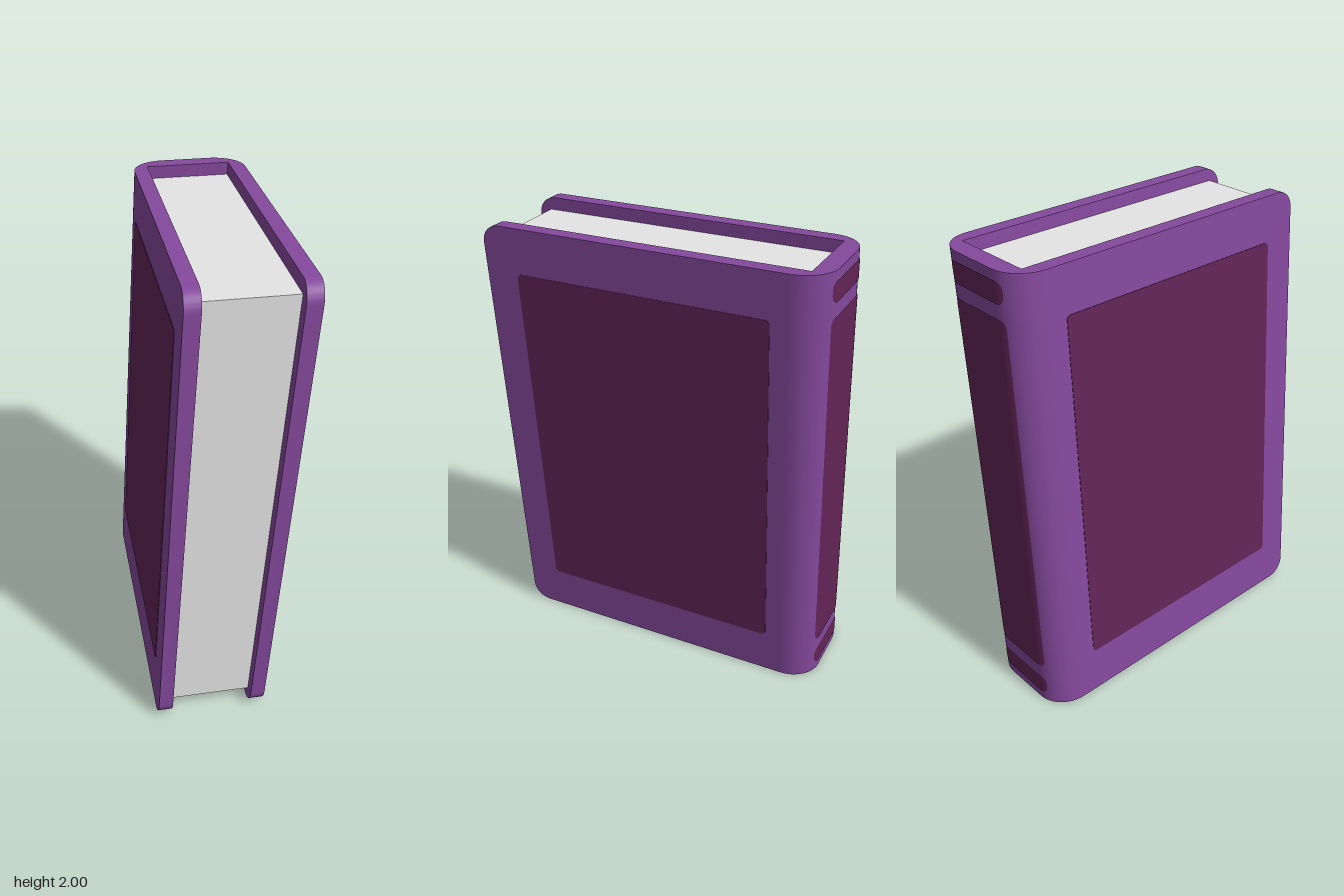
import * as THREE from 'three';
import { toCreasedNormals } from 'three/addons/utils/BufferGeometryUtils.js';

const HEIGHT = 2, HALF = 0.25, BOARD = 0.065, DEPTH = 0.735, ROUND = 0.14;

// Leaning rule: the book is built upright, then tilted and widened toward the top
function lean(geometry) {
  const p = geometry.attributes.position;
  for (let i = 0; i < p.count; i++) {
    const t = p.getY(i) / HEIGHT;
    const centre = THREE.MathUtils.lerp(-0.0825, 0.065, t);
    const width = THREE.MathUtils.lerp(0.465, 0.5, t) / (2 * HALF);
    p.setX(i, centre + p.getX(i) * width);
  }
  return toCreasedNormals(geometry, 0.6);
}

// Rectangle with separate corner radii on its left (front) and right (back) ends
function roundedRect(x0, x1, y0, y1, rFront, rBack) {
  const s = new THREE.Shape();
  s.moveTo(x0 + rFront, y0);
  s.lineTo(x1 - rBack, y0);
  if (rBack) s.absarc(x1 - rBack, y0 + rBack, rBack, -Math.PI / 2, 0, false);
  s.lineTo(x1, y1 - rBack);
  if (rBack) s.absarc(x1 - rBack, y1 - rBack, rBack, 0, Math.PI / 2, false);
  s.lineTo(x0 + rFront, y1);
  s.absarc(x0 + rFront, y1 - rFront, rFront, Math.PI / 2, Math.PI, false);
  s.lineTo(x0, y0 + rFront);
  s.absarc(x0 + rFront, y0 + rFront, rFront, Math.PI, Math.PI * 1.5, false);
  return s;
}

// Upright slab lying in the depth/height plane, starting at x
function sideSlab(shape, x, thickness) {
  const g = new THREE.ExtrudeGeometry(shape, { depth: thickness, bevelEnabled: false, curveSegments: 8 });
  return g.rotateY(Math.PI / 2).translate(x, 0, 0);
}

// Rounded spine, drawn in plan and extruded upward
function spineGeometry() {
  const flat = HALF - ROUND, back = DEPTH - ROUND, inner = HALF - BOARD;
  const s = new THREE.Shape();
  s.moveTo(HALF, back);
  s.absarc(flat, back, ROUND, 0, Math.PI / 2, false);
  s.lineTo(-flat, DEPTH);
  s.absarc(-flat, back, ROUND, Math.PI / 2, Math.PI, false);
  s.lineTo(-inner, back);
  s.lineTo(-inner, 0.655);
  s.lineTo(inner, 0.655);
  s.lineTo(inner, back);
  const g = new THREE.ExtrudeGeometry(s, { depth: HEIGHT, bevelEnabled: false, curveSegments: 6 });
  return g.rotateX(-Math.PI / 2);
}

// Thin panel with rounded corners that wraps over the curved spine
function spinePanel(y0, y1, r) {
  const half = 0.16, h = (y1 - y0) / 2;
  const g = new THREE.PlaneGeometry(2, 2, 28, 1).rotateY(Math.PI);
  const p = g.attributes.position;
  for (let i = 0; i < p.count; i++) {
    const u = half * Math.sin(p.getX(i) * Math.PI / 2);
    const intoCorner = Math.max(0, Math.abs(u) - (half - r));
    const drop = r - Math.sqrt(Math.max(0, r * r - intoCorner * intoCorner));
    const intoCurve = Math.max(0, Math.abs(u) - (HALF - ROUND));
    const z = -(DEPTH - ROUND) - Math.sqrt(ROUND * ROUND - intoCurve * intoCurve) - 0.003;
    p.setXYZ(i, u, (y0 + y1) / 2 + Math.sign(p.getY(i)) * (h - drop), z);
  }
  return g;
}

export function createModel() {
  const book = new THREE.Group();
  book.name = 'book';
  const cover = new THREE.MeshStandardMaterial({ color: 0x85499d });
  cover.name = 'purpleCover';
  const panel = new THREE.MeshStandardMaterial({ color: 0x632558 });
  panel.name = 'plumPanel';
  const paper = new THREE.MeshStandardMaterial({ color: 0xe5e5e5 });
  paper.name = 'paper';

  const add = (name, geometry, material) => {
    const mesh = new THREE.Mesh(lean(geometry), material);
    mesh.name = name;
    book.add(mesh);
  };

  // Cover boards and their inset panels
  for (const [side, sign] of [['left', 1], ['right', -1]]) {
    const board = roundedRect(-DEPTH, DEPTH - ROUND, 0, HEIGHT, 0.08, 0);
    add(`${side}Cover`, sideSlab(board, sign > 0 ? HALF - BOARD : -HALF, BOARD), cover);
    const inset = roundedRect(-0.59, 0.52, 0.21, 1.8, 0.02, 0.02);
    add(`${side}CoverPanel`, sideSlab(inset, sign * HALF - 0.002, 0.004), panel);
  }

  // Spine and its three panels
  add('spine', spineGeometry(), cover);
  add('spineLowerPanel', spinePanel(0.04, 0.13, 0.035), panel);
  add('spineMainPanel', spinePanel(0.19, 1.81, 0.03), panel);
  add('spineUpperPanel', spinePanel(1.87, 1.96, 0.035), panel);

  // Page block
  const pages = new THREE.BoxGeometry(2 * (HALF - BOARD), 1.89, 1.335);
  add('pages', pages.translate(0, 1, 0.0125), paper);

  return book;
}
